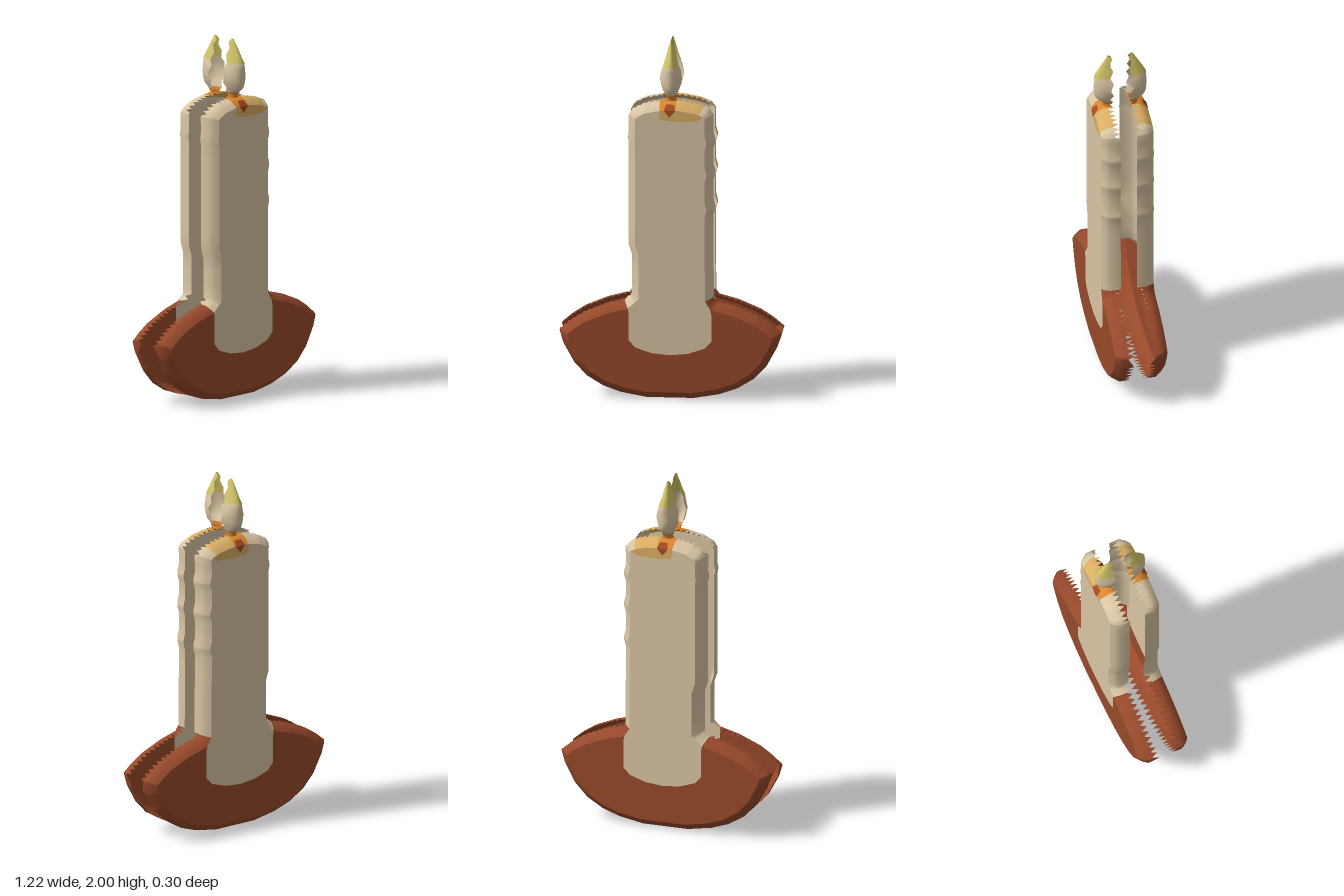
import * as THREE from 'three';

const mat = (name, color) => {
  const m = new THREE.MeshStandardMaterial({ color, side: THREE.DoubleSide });
  m.name = name;
  return m;
};
const V = (x, y) => new THREE.Vector2(x, y);
const FACE = 0.147, INSET = 0.04;

// Silhouette, counter-clockwise: candle from right foot over the top to left foot
const candlePts = [
  [0.235, 0.57], [0.232, 1.02], [0.243, 1.06], [0.243, 1.08], [0.232, 1.12], [0.232, 1.22],
  [0.243, 1.26], [0.243, 1.28], [0.232, 1.32], [0.232, 1.4], [0.243, 1.44], [0.243, 1.46],
  [0.232, 1.5], [0.234, 1.6], [0.21, 1.632], [0.15, 1.655], [0.07, 1.67], [0, 1.675],
  [-0.06, 1.67], [-0.15, 1.652], [-0.21, 1.622], [-0.23, 1.59], [-0.229, 1.5], [-0.235, 1.47],
  [-0.229, 1.44], [-0.229, 0.86], [-0.21, 0.8], [-0.21, 0.58],
].map(p => V(...p));

// Plate from the left foot, round the bottom, to the right foot
const plateHalf = [
  [0.25, 0.545], [0.36, 0.515], [0.48, 0.465], [0.55, 0.42], [0.61, 0.37], [0.59, 0.3],
  [0.53, 0.19], [0.46, 0.115], [0.37, 0.06], [0.27, 0.025], [0.13, 0],
];
const platePts = [
  ...plateHalf.map(([x, y]) => V(-x, y)),
  ...plateHalf.slice().reverse().map(([x, y]) => V(x, y)),
];

// Lower edge of the candle where it stands in front of the plate, left to right
const footPts = [
  [-0.225, 0.48], [-0.225, 0.33], [-0.19, 0.29], [-0.1, 0.26], [0, 0.25],
  [0.1, 0.26], [0.19, 0.29], [0.23, 0.33], [0.23, 0.48],
].map(p => V(...p));

// Mitred inward direction at each corner of a closed outline
function inwardMiters(pts) {
  const n = pts.length;
  return pts.map((p, i) => {
    const a = p.clone().sub(pts[(i + n - 1) % n]).normalize();
    const b = pts[(i + 1) % n].clone().sub(p).normalize();
    const na = V(-a.y, a.x), nb = V(-b.y, b.x);
    return na.clone().add(nb).divideScalar(1 + na.dot(nb));
  });
}

// Geometry from a grid of rows, with a material index chosen per row
function gridGeometry(rows, materialOf) {
  const w = rows[0].length, index = [];
  const g = new THREE.BufferGeometry();
  for (let i = 0; i < rows.length - 1; i++) {
    g.addGroup(index.length, (w - 1) * 6, materialOf(i));
    for (let k = 0; k < w - 1; k++) {
      const a = i * w + k, b = a + w;
      index.push(a, b, b + 1, a, b + 1, a + 1);
    }
  }
  g.setAttribute('position', new THREE.Float32BufferAttribute(rows.flat(2), 3));
  g.setIndex(index);
  g.computeVertexNormals();
  return g;
}

// Mirror a geometry front to back, keeping its faces outward
function mirrorZ(source) {
  const g = source.clone(), ix = g.index.array;
  g.scale(1, 1, -1);
  for (let i = 0; i < ix.length; i += 3) [ix[i + 1], ix[i + 2]] = [ix[i + 2], ix[i + 1]];
  g.computeVertexNormals();
  return g;
}

const flat = (pts, z) => new THREE.ShapeGeometry(new THREE.Shape(pts)).translate(0, 0, z);

export function createModel() {
  const wax = mat('cream wax', 0xd9c5a3);
  const clay = mat('brown clay', 0x97492b);
  const amber = mat('amber melted wax', 0xd9ad63);
  const orange = mat('orange glow', 0xdb862f);
  const rust = mat('rust wick', 0xa54a22);
  const yellow = mat('yellow flame', 0xd2c468);

  const model = new THREE.Group();
  model.name = 'candleOnPlate';
  const sides = ['front', 'back'].map(name => {
    const g = new THREE.Group();
    g.name = name + 'Half';
    model.add(g);
    return g;
  });
  const add = (name, geometry, material) => {
    sides.forEach((side, i) => {
      const m = new THREE.Mesh(i ? mirrorZ(geometry) : geometry, material);
      m.name = name;
      side.add(m);
    });
  };

  const outline = [...candlePts, ...platePts];
  const miters = inwardMiters(outline);
  const inset = outline.map((p, i) => p.clone().addScaledVector(miters[i], INSET));
  const nc = candlePts.length, n = outline.length;

  // Bevelled rim with a ragged inner edge
  const rows = [], kinds = [];
  for (let i = 0; i < n; i++) {
    const j = (i + 1) % n, p = outline[i], q = outline[j];
    const level = Math.abs(q.y - p.y) < 2.2 * Math.abs(q.x - p.x);
    const steps = Math.max(1, Math.ceil(p.distanceTo(q) / (level ? 0.018 : 0.1)));
    for (let s = 0; s < steps; s++) {
      const c = p.clone().lerp(q, s / steps), m = miters[i].clone().lerp(miters[j], s / steps);
      const edge = level && rows.length % 2 ? 0.08 : 0.045;
      rows.push([[0, edge], [0, 0.1], [0.02, 0.129], [INSET, FACE]]
        .map(([d, z]) => [c.x + m.x * d, c.y + m.y * d, z]));
      const melted = c.y > 1.64 && c.x < 0.2 && c.x > -0.06;
      kinds.push(i >= nc ? 1 : !melted ? 0 : c.x < 0.04 ? 3 : 2);
    }
  }
  rows.push(rows[0]);
  add('bevelledRim', gridGeometry(rows, i => kinds[i]), [wax, clay, amber, orange]);

  // Flat faces of the candle and the plate
  add('candleFace', flat([...inset.slice(0, nc + 1), ...footPts, inset[n - 1]], FACE), wax);
  add('plateFace', flat([...inset.slice(nc), ...footPts.slice().reverse()], FACE), clay);

  // Melted wax below the wick
  const meltTop = inset.slice(0, nc).filter(p => p.y > 1.61 && p.x < 0.17 && p.x > -0.08);
  const meltLow = [[-0.06, 1.595], [-0.04, 1.577], [0.05, 1.57], [0.15, 1.575], [0.185, 1.597]];
  add('meltedWax', flat([...meltTop, ...meltLow.map(p => V(...p))], FACE + 0.002), amber);

  // Wick: upper piece lies on the bevel, lower point on the face
  add('wickTop', gridGeometry([
    [[-0.032, 1.633, 0.152], [-0.02, 1.662, 0.127]],
    [[0.032, 1.633, 0.152], [0.02, 1.662, 0.127]],
  ], () => 0), [rust]);
  add('wickPoint', flat([V(-0.032, 1.633), V(0, 1.595), V(0.032, 1.633)], FACE + 0.005), rust);

  // Flame: half-round sections of [height, half width, depth]
  const flame = [
    [1.665, 0.035, 0.1], [1.685, 0.028, 0.094], [1.705, 0.032, 0.112], [1.73, 0.043, 0.138],
    [1.76, 0.055, 0.147], [1.8, 0.061, 0.147], [1.84, 0.053, 0.147], [1.87, 0.042, 0.147],
    [1.91, 0.03, 0.125], [1.95, 0.019, 0.102], [1.98, 0.011, 0.084], [2, 0.004, 0.072],
  ];
  const sections = flame.map(([y, w, z], i) => Array.from({ length: 13 }, (_, k) => {
    const t = Math.PI * k / 12, back = i % 2 ? 0.062 : 0.045;
    return [w * Math.cos(t), y, back + (z - back) * Math.sin(t)];
  }));
  add('flame', gridGeometry(sections, i => (i < 2 ? 0 : i < 7 ? 1 : 2)), [orange, wax, yellow]);

  return model;
}
